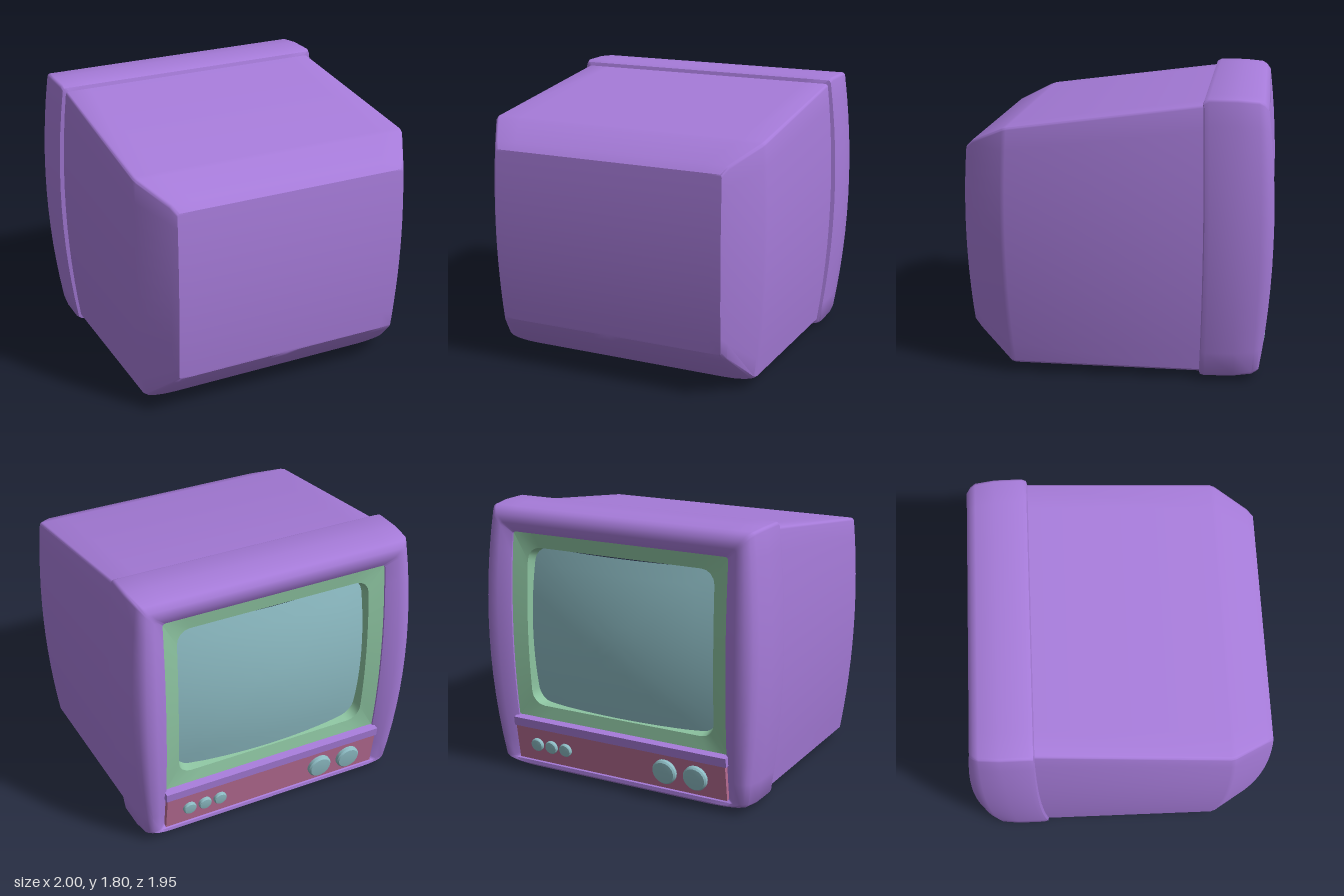
import * as THREE from 'three';
import { toCreasedNormals } from 'three/addons/utils/BufferGeometryUtils.js';

const paint = (color) => new THREE.MeshStandardMaterial({ color });
const purple = paint(0xa67bd9), green = paint(0x8cc3a0), teal = paint(0x8dbcc4), pink = paint(0xb76c93);

const bend = (y) => ((y - 1) / 0.8) ** 2;

// Rounded rectangle, counterclockwise seen from +z. The sides bow in x, and z bends with height.
function ring({ x, y0, y1, z, k = 0, bow = 0, r = 0.02, bx = r, by = r, shrink = 1 }) {
  const corners = [
    [x - bx, y0 + by, bx, by, -90], [x - r, y1 - r, r, r, 0],
    [-x + r, y1 - r, r, r, 90], [-x + bx, y0 + by, bx, by, 180],
  ];
  const arcs = corners.map(([cx, cy, rx, ry, start]) => [0, 1, 2, 3, 4].map((i) => {
    const a = THREE.MathUtils.degToRad(start + i * 22.5);
    return new THREE.Vector3(cx + rx * Math.cos(a), cy + ry * Math.sin(a), 0);
  }));
  const points = [];
  arcs.forEach((arc, i) => {
    points.push(...arc);
    const from = arc[4], to = arcs[(i + 1) % 4][0];
    for (let s = 1; s < 12; s++) points.push(from.clone().lerp(to, s / 12));
  });
  for (const p of points) {
    p.x *= shrink * (1 - bow * bend(p.y));
    p.z = z + k * bend(p.y);
  }
  return points;
}

// Skin a row of rings that share a point count.
function loft(rings, crease = 0.65) {
  const n = rings[0].length, index = [];
  const all = rings.flat();
  const face = (a, b, c) => {
    if (new THREE.Triangle(all[a], all[b], all[c]).getArea() > 1e-8) index.push(a, b, c);
  };
  for (let j = 0; j + 1 < rings.length; j++) {
    for (let i = 0; i < n; i++) {
      const a = j * n + i, b = j * n + (i + 1) % n;
      face(a, b, b + n);
      face(a, b + n, a + n);
    }
  }
  const g = new THREE.BufferGeometry().setFromPoints(all);
  g.setIndex(index);
  return toCreasedNormals(g, crease);
}

function add(parent, name, geometry, material) {
  const mesh = new THREE.Mesh(geometry, material);
  mesh.name = name;
  parent.add(mesh);
  return mesh;
}

export function createModel() {
  const model = new THREE.Group();
  model.name = 'television';

  // Tapering rear housing with a bevelled, gently curved end
  const shell = { bow: 0.05, bx: 0.22, by: 0.04 };
  const end = { x: 0.79, y0: 0.3, y1: 1.45, z: 0.98, k: -0.058, bow: 0.02 };
  add(model, 'rearHousing', loft([
    { ...shell, x: 0.965, y0: 0.025, y1: 1.765, z: -0.56 },
    { ...shell, x: 0.975, y0: 0.04, y1: 1.605, z: 0.69, k: -0.03 },
    { ...shell, x: 0.965, y0: 0.045, y1: 1.595, z: 0.72, k: -0.03 },
    { x: 0.825, y0: 0.25, y1: 1.495, z: 0.935, k: -0.05, bow: 0.03, bx: 0.06, by: 0.02 },
    end,
    { ...end, shrink: 0.9 },
    { ...end, shrink: 0 },
  ].map(ring)), purple);

  // Thick surround, skinned from the opening over the rim to the seam
  const outer = { bow: 0.055, bx: 0.24, by: 0.045 };
  const opening = { x: 0.78, y0: 0.085, y1: 1.63, k: 0.06, bow: 0.01 };
  add(model, 'surround', loft([
    { ...opening, z: -0.84 },
    { ...opening, z: -0.93 },
    { x: 0.86, y0: 0.068, y1: 1.69, z: -0.973, k: 0.06, bow: 0.03 },
    { x: 0.925, y0: 0.045, y1: 1.74, z: -0.972, k: 0.055, bow: 0.045, bx: 0.15, by: 0.03 },
    { ...outer, x: 0.965, y0: 0.028, y1: 1.775, z: -0.935, k: 0.04 },
    { ...outer, x: 0.985, y0: 0.018, y1: 1.79, z: -0.89, k: 0.025 },
    { ...outer, x: 1, y0: 0.005, y1: 1.8, z: -0.74 },
    { ...outer, x: 1, y0: 0, y1: 1.8, z: -0.58, k: 0.015 },
    { ...outer, x: 0.992, y0: 0.006, y1: 1.785, z: -0.55, k: 0.015 },
    { ...outer, x: 0.96, y0: 0.03, y1: 1.755, z: -0.54, k: 0.015 },
  ].map(ring), 0.8), purple);

  // Crossbar between screen and control panel
  const bar = add(model, 'crossbar', new THREE.BoxGeometry(1.58, 0.06, 0.09), purple);
  bar.position.set(0, 0.35, -0.887);
  bar.rotation.x = -0.12;

  // Screen frame with a rounded inner step
  const inner = { x: 0.68, y0: 0.465, y1: 1.535, r: 0.09, k: 0.06, bow: 0.02 };
  add(model, 'screenFrame', loft([
    { ...inner, x: 0.665, y0: 0.48, y1: 1.52, z: -0.82 },
    { ...inner, z: -0.895 },
    { ...inner, x: 0.79, y0: 0.36, y1: 1.64, r: 0.01, z: -0.92 },
  ].map(ring)), green);

  // Domed screen
  const edge = ring({ ...inner, x: 0.672, y0: 0.473, y1: 1.527, z: 0 });
  const dome = [0, 0.2, 0.4, 0.6, 0.8, 1].map((s) => edge.map((p) => {
    const x = p.x * s, y = 1 + (p.y - 1) * s;
    return new THREE.Vector3(x, y, -0.92 + 0.07 * (x / 0.67) ** 2 + 0.06 * ((y - 1) / 0.53) ** 2);
  }));
  add(model, 'screen', loft(dome, 1), teal);

  // Control panel, tilted to follow the curve of the front
  const controls = new THREE.Group();
  controls.name = 'controls';
  controls.position.set(0, 0.2, -0.905);
  controls.rotation.x = -0.15;
  model.add(controls);
  add(controls, 'controlPanel', new THREE.BoxGeometry(1.56, 0.25, 0.06), pink).position.z = 0.03;

  // Knobs with softened rims
  const knob = (name, x, r, depth) => {
    const profile = [[r, -0.01], [r, depth * 0.6], [r * 0.88, depth * 0.9], [r * 0.5, depth], [0, depth]]
      .map(([a, b]) => new THREE.Vector2(a, b));
    const g = toCreasedNormals(new THREE.LatheGeometry(profile, 24), 0.6);
    const mesh = add(controls, name, g, teal);
    mesh.rotation.x = -Math.PI / 2;
    mesh.position.x = x;
  };
  for (const x of [-0.57, -0.35]) knob('largeKnob', x, 0.083, 0.035);
  for (const x of [0.4, 0.51, 0.62]) knob('smallKnob', x, 0.045, 0.025);

  return model;
}
